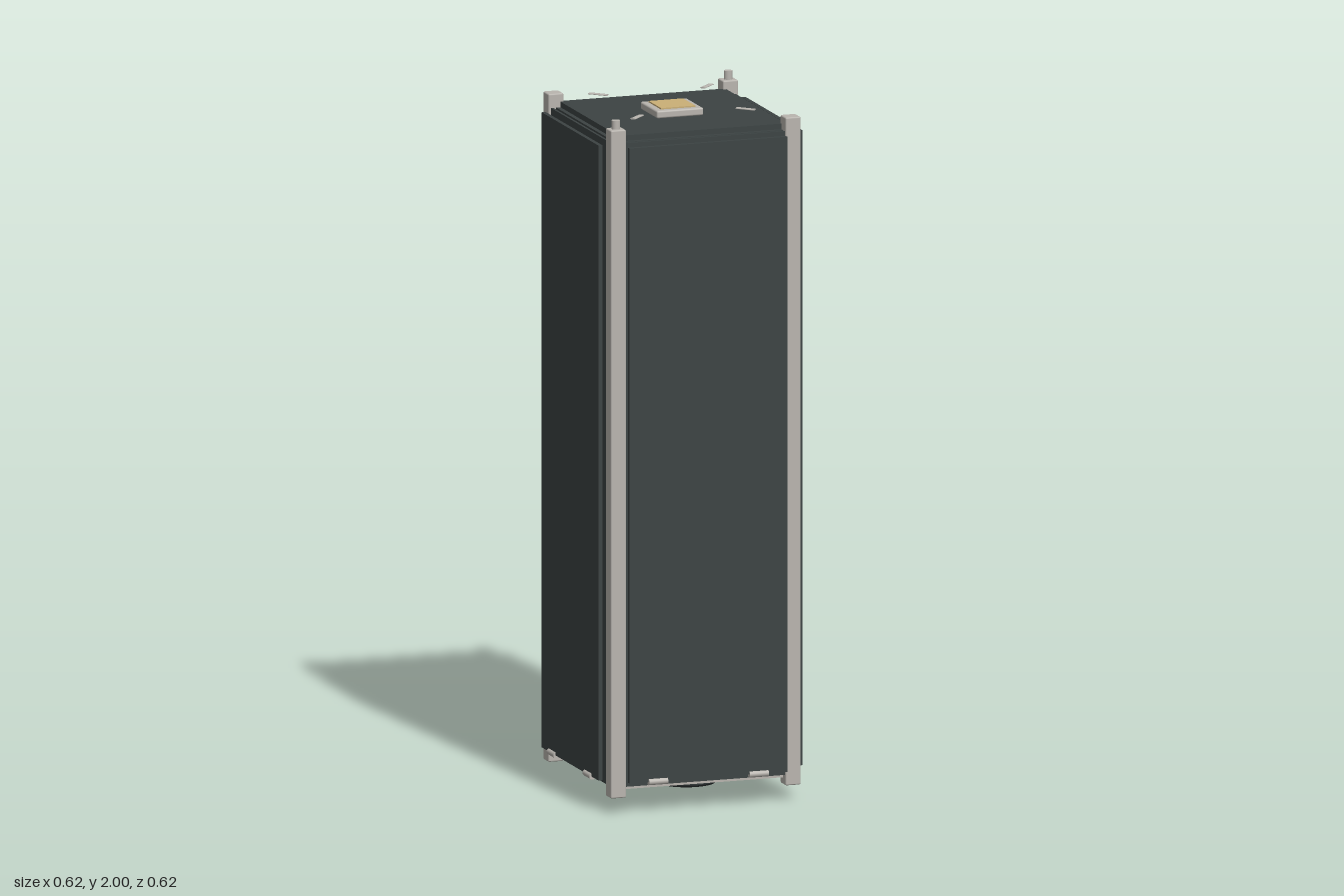
import * as THREE from 'three';
import { RoundedBoxGeometry } from 'three/addons/geometries/RoundedBoxGeometry.js';

const material = (name, color) => {
  const m = new THREE.MeshStandardMaterial({ color });
  m.name = name;
  return m;
};

export function createModel() {
  const model = new THREE.Group();
  model.name = 'smallSatellite';

  const aluminium = material('aluminium', 0xb9b5af);
  const panelDark = material('dark panel', 0x3c4343);
  const gold = material('gold', 0xcbb077);
  const barrelBlack = material('barrel black', 0x2d3435);
  const glass = material('lens glass', 0x15181c);

  const add = (name, geometry, mat, x = 0, y = 0, z = 0, parent = model) => {
    const mesh = new THREE.Mesh(geometry, mat);
    mesh.name = name;
    mesh.position.set(x, y, z);
    parent.add(mesh);
    return mesh;
  };
  const box = (w, h, d) => new THREE.BoxGeometry(w, h, d);

  // Core body with end plates
  add('body', box(0.524, 1.86, 0.524), panelDark, 0, 1.005, 0);
  add('topPlate', box(0.498, 0.016, 0.498), panelDark, 0, 1.943, 0);
  add('bottomPlate', box(0.524, 0.01, 0.524), aluminium, 0, 0.07, 0);

  // Four corner rails, with separation pins on two opposite corners
  const railGeometry = new RoundedBoxGeometry(0.046, 1.93, 0.046, 1, 0.004);
  const pinGeometry = new THREE.CylinderGeometry(0.012, 0.012, 0.03, 24);
  for (const sx of [-1, 1]) {
    for (const sz of [-1, 1]) {
      const x = sx * 0.262, z = sz * 0.262;
      add('cornerRail', railGeometry, aluminium, x, 1.01, z);
      if (sx !== sz) add('separationPin', pinGeometry, aluminium, x, 1.985, z);
    }
  }

  // Each side: fixed panel, folded outer panel and two hinge barrels
  const hingeGeometry = new THREE.CylinderGeometry(0.0095, 0.0095, 0.057, 16).rotateZ(Math.PI / 2);
  for (let i = 0; i < 4; i++) {
    const side = new THREE.Group();
    side.name = 'sideAssembly';
    side.rotation.y = i * Math.PI / 2;
    model.add(side);
    add('fixedSolarPanel', box(0.478, 1.86, 0.007), panelDark, 0, 1.005, 0.274, side);
    add('foldedSolarPanel', box(0.474, 1.835, 0.012), panelDark, 0, 1.0075, 0.3, side);
    for (const s of [-1, 1]) add('hinge', hingeGeometry, aluminium, s * 0.151, 0.09, 0.303, side);
  }

  // Square patch antenna on the top plate
  add('patchAntennaBase', new RoundedBoxGeometry(0.14, 0.022, 0.14, 2, 0.005), aluminium, 0, 1.962, 0);
  add('patchAntennaElement', box(0.103, 0.006, 0.103), gold, 0, 1.974, 0);

  // Slim diagonal antenna blades near the corners
  const bladeGeometry = new THREE.CylinderGeometry(0.009, 0.009, 0.056, 8).rotateZ(Math.PI / 2).scale(1, 0.25, 1);
  for (let i = 0; i < 4; i++) {
    const angle = Math.PI / 4 + i * Math.PI / 2;
    const r = 0.163 * Math.SQRT2;
    const blade = add('antennaBlade', bladeGeometry, aluminium, r * Math.cos(angle), 1.982, -r * Math.sin(angle));
    blade.rotation.y = angle;
  }

  // Off-centre camera lens below: hollow barrel, gold ring and recessed glass
  const lens = new THREE.Group();
  lens.name = 'cameraLens';
  lens.position.set(0.066, 0, -0.066);
  model.add(lens);
  const profile = [[0.066, 0.018], [0.066, 0], [0.084, 0], [0.09, 0.006], [0.09, 0.066]];
  // Each straight section gets its own surface so the edges stay sharp
  for (let i = 0; i < profile.length - 1; i++) {
    const points = [profile[i], profile[i + 1]].map(([x, y]) => new THREE.Vector2(x, y));
    add('lensBarrel', new THREE.LatheGeometry(points, 40), barrelBlack, 0, 0, 0, lens);
  }
  add('lensRing', new THREE.RingGeometry(0.058, 0.066, 40).rotateX(Math.PI / 2), gold, 0, 0.012, 0, lens);
  add('lensGlass', new THREE.CircleGeometry(0.06, 40).rotateX(Math.PI / 2), glass, 0, 0.014, 0, lens);

  return model;
}
